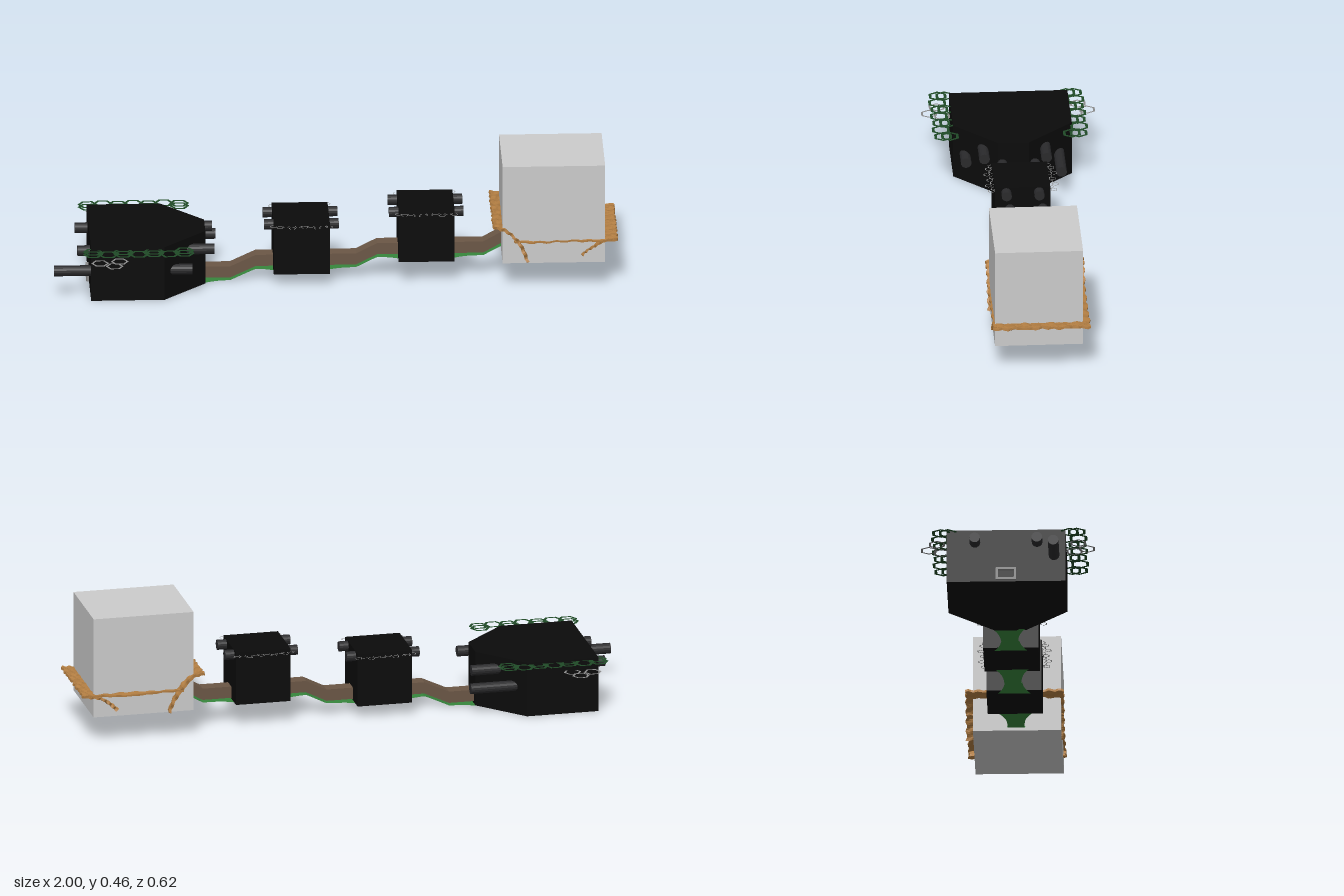
import * as THREE from 'three';

const ZC = -0.01; // centre line of the chain in z
const paint = (color) => new THREE.MeshStandardMaterial({ color, side: THREE.DoubleSide, flatShading: true });
const black = paint(0x0b0b0b), pipeMat = paint(0x2a2a2c), green = paint(0x1f4a26), leaf = paint(0x37863c);
const steel = paint(0x8a8a8a), brown = paint(0x6b5746), wood = paint(0xb17d42), grey = paint(0xcccccc);

export function createModel() {
  const root = new THREE.Group();
  const add = (name, geo, mat, x = 0, y = 0, z = 0) => {
    const m = new THREE.Mesh(geo, mat);
    m.name = name;
    m.position.set(x, y, z);
    root.add(m);
    return m;
  };
  // Rod along x between two ends
  const rod = (name, x0, x1, y, z, r = 0.019) =>
    add(name, new THREE.CylinderGeometry(r, r, x1 - x0, 16).rotateZ(Math.PI / 2), pipeMat, (x0 + x1) / 2, y, z);

  // Flat hexagonal ring lying in the xz plane
  const hexRing = (r, w) => {
    const pts = (q) => Array.from({ length: 6 }, (_, i) =>
      new THREE.Vector2(q * Math.cos(i * Math.PI / 3), q * Math.sin(i * Math.PI / 3)));
    const s = new THREE.Shape(pts(r));
    s.holes.push(new THREE.Path(pts(r - w)));
    return new THREE.ShapeGeometry(s).rotateX(-Math.PI / 2);
  };

  // Main housing: a prism with two cut corners
  const plan = [[-0.87, -0.2], [-0.61, -0.2], [-0.46, -0.05], [-0.46, 0.06], [-0.61, 0.22], [-0.87, 0.22]];
  const shape = new THREE.Shape(plan.map(([x, z]) => new THREE.Vector2(x, z)));
  add('mainHousing', new THREE.ExtrudeGeometry(shape, { depth: 0.2, bevelEnabled: false }).rotateX(-Math.PI / 2), black, 0, 0.005, 0);
  rod('longPipe', -1, -0.51, 0.105, 0.16);
  rod('longPipe', -0.86, -0.415, 0.107, -0.172);
  for (const z of [-0.12, 0.1]) rod('shortPipe', -0.915, -0.43, 0.157, z);

  // Rectangular loop on the end of the housing
  for (const s of [-1, 1]) {
    add('endLoop', new THREE.BoxGeometry(0.012, 0.045, 0.008), steel, -0.874, 0.033, ZC + s * 0.032);
    add('endLoop', new THREE.BoxGeometry(0.012, 0.008, 0.07), steel, -0.874, 0.033 + s * 0.019, ZC);
  }

  // Honeycomb trim around the housing top
  const bigHex = hexRing(0.036, 0.011);
  for (const s of [-1, 1]) {
    for (let i = 0; i < 7; i++)
      add('honeycomb', bigHex, green, -0.865 + i * 0.054, 0.197, s * (i % 2 ? 0.245 : 0.216));
    for (let i = 0; i < 4; i++)
      add('honeycomb', bigHex, green, -0.865 + i * 0.108, 0.197, s * (0.24));
    for (const [x, z] of [[-0.84, 0.25], [-0.79, 0.28], [-0.77, 0.235]])
      add('looseHexagon', hexRing(0.032, 0.008), steel, x, 0.165, s * z - 0.005);
  }

  // Two link boxes with stub pipes and small honeycomb edging
  for (const [x, y] of [[-0.12, 0.148], [0.322, 0.188]]) {
    add('linkBox', new THREE.BoxGeometry(0.198, 0.196, 0.196), black, x, y, ZC);
    for (const s of [-1, 1]) {
      rod('stubPipe', x - 0.132, x + 0.132, y + 0.08 - 0.002, ZC + s * 0.058, 0.018);
      for (let i = 0; i < 10; i++)
        add('smallHexagon', hexRing(0.013, 0.003), steel, x - 0.1 + i * 0.022, y + 0.085,
          ZC + s * (0.1 + (i % 2) * 0.011 + (i === 3 || i === 7 ? 0.008 : 0)));
    }
  }

  // Stepped connectors: brown bar above, flared green strip below
  const connectors = [
    [[-0.47, 0.033], [-0.37, 0.033], [-0.28, 0.075], [-0.2, 0.075]],
    [[-0.04, 0.075], [0.075, 0.075], [0.15, 0.113], [0.24, 0.113]],
    [[0.41, 0.113], [0.525, 0.113], [0.6, 0.155], [0.64, 0.155]],
  ];
  for (const p of connectors) {
    const up = p.map(([x, y]) => new THREE.Vector2(x, y + 0.022));
    const down = p.map(([x, y]) => new THREE.Vector2(x, y - 0.02)).reverse();
    add('connectorBar', new THREE.ExtrudeGeometry(new THREE.Shape([...up, ...down]), { depth: 0.05, bevelEnabled: false }),
      brown, 0, 0, ZC - 0.025);
    const strip = new THREE.PlaneGeometry(1, 2, 24, 1).rotateX(-Math.PI / 2);
    const a = strip.attributes.position;
    const x0 = p[0][0], x1 = p[3][0];
    for (let i = 0; i < a.count; i++) {
      const t = a.getX(i) + 0.5, x = x0 + t * (x1 - x0);
      let k = 0;
      while (k < 2 && x > p[k + 1][0]) k++;
      const f = (x - p[k][0]) / (p[k + 1][0] - p[k][0]);
      const y = p[k][1] + f * (p[k + 1][1] - p[k][1]) - 0.028;
      a.setXYZ(i, x, y, a.getZ(i) * (0.03 + 0.028 * Math.pow(Math.abs(2 * t - 1), 3)));
    }
    strip.computeVertexNormals();
    add('connectorStrip', strip, leaf, 0, 0, ZC);
  }

  // Large end block
  add('endBlock', new THREE.BoxGeometry(0.363, 0.366, 0.312), grey, 0.77, 0.286, -0.009);

  // Bark sheets passing through the block: a rippled section swept along z
  const bark = (name, section, thick, z0, z1) => {
    const curve = new THREE.CatmullRomCurve3(section.map(([x, y]) => new THREE.Vector3(x, y, 0)));
    const g = new THREE.BoxGeometry(1, 1, 1, 32, 1, 32);
    const a = g.attributes.position;
    for (let i = 0; i < a.count; i++) {
      const u = a.getX(i) + 0.5, v = a.getZ(i) + 0.5, h = a.getY(i);
      const c = curve.getPoint(u), t = curve.getTangent(u);
      const wave = 0.002 * Math.sin(v * 47 + u * 9) + 0.0015 * Math.sin(u * 41 + v * 23);
      const edge = 0.003 * Math.sin(u * 37 + 2) * (2 * v - 1);
      const off = h * thick + wave, slip = 0.003 * Math.sin(v * 61) * (2 * u - 1);
      a.setXYZ(i, c.x - t.y * off + t.x * slip, c.y + t.x * off + t.y * slip, z0 + v * (z1 - z0) + edge);
    }
    g.computeVertexNormals();
    add(name, g, wood);
  };
  bark('flatBark', [[0.63, 0.185], [0.75, 0.184], [0.88, 0.185], [0.995, 0.188]], 0.006, -0.188, 0.154);
  bark('curledBark', [[0.555, 0.243], [0.595, 0.232], [0.632, 0.198], [0.66, 0.155], [0.68, 0.108]], 0.01, -0.19, 0.156);
  bark('curledBark', [[0.995, 0.19], [0.94, 0.18], [0.9, 0.158], [0.87, 0.13]], 0.008, -0.186, 0.154);

  return root;
}
